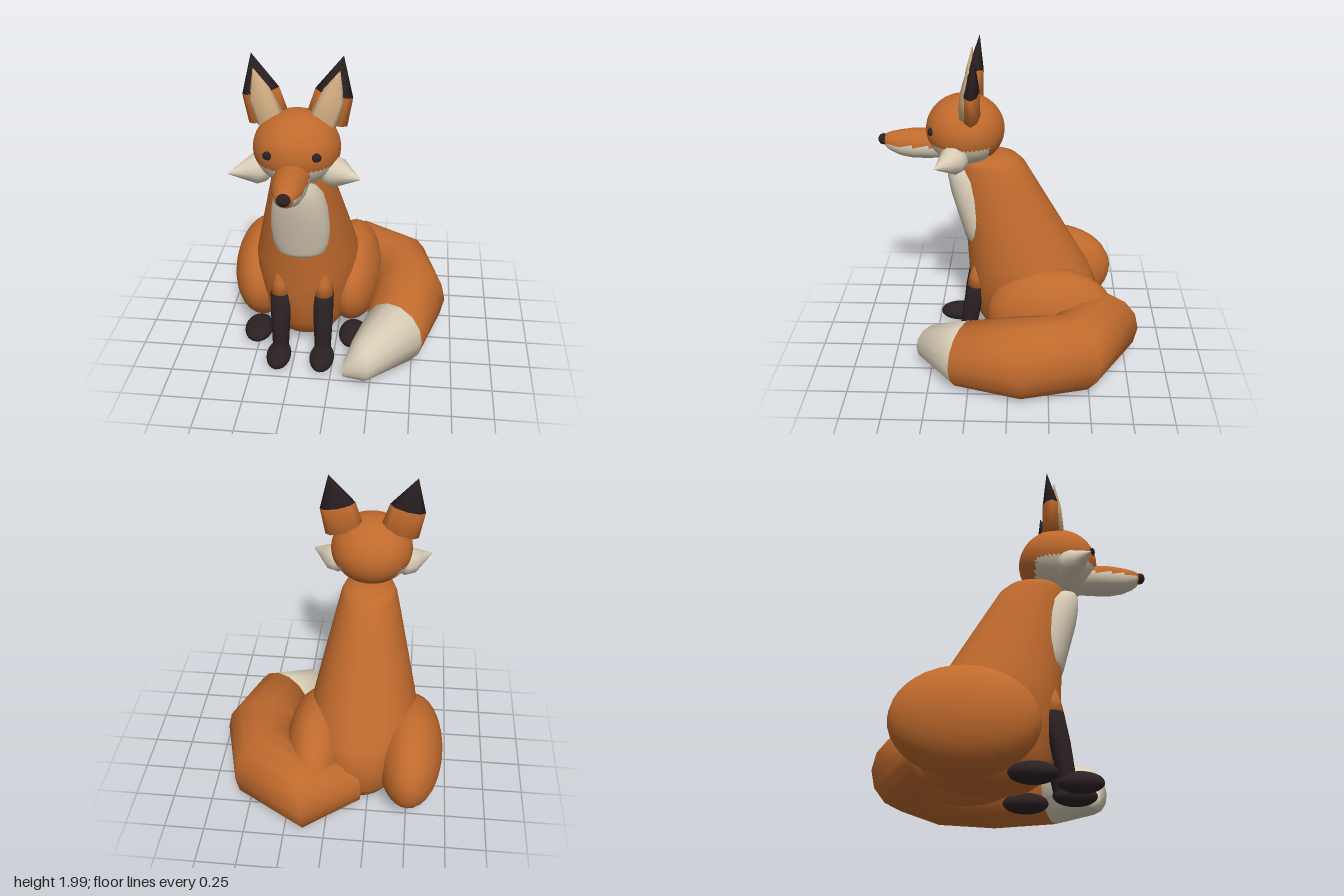
import * as THREE from 'three';

const V = (x, y, z) => new THREE.Vector3(x, y, z);
const mat = (name, color, side = THREE.FrontSide) => {
  const m = new THREE.MeshStandardMaterial({ color, side });
  m.name = name;
  return m;
};

// Ellipse of n points around c; sections advance along u x v
function ring(c, u, v, n) {
  return Array.from({ length: n }, (_, i) => {
    const a = (i / n) * Math.PI * 2;
    return c.clone().addScaledVector(u, Math.cos(a)).addScaledVector(v, Math.sin(a));
  });
}

// Closed skin over a list of rings
function loft(rings) {
  const n = rings[0].length, pos = [], idx = [];
  rings.forEach(r => r.forEach(p => pos.push(p.x, p.y, p.z)));
  for (let i = 0; i < rings.length - 1; i++) {
    for (let j = 0; j < n; j++) {
      const a = i * n + j, b = i * n + (j + 1) % n;
      idx.push(a, b, a + n, b, b + n, a + n);
    }
  }
  [0, rings.length - 1].forEach(i => {
    const c = rings[i].reduce((s, p) => s.add(p), V(0, 0, 0)).divideScalar(n);
    const k = pos.length / 3;
    pos.push(c.x, c.y, c.z);
    for (let j = 0; j < n; j++) {
      const a = i * n + j, b = i * n + (j + 1) % n;
      if (i === 0) idx.push(k, b, a); else idx.push(k, a, b);
    }
  });
  const g = new THREE.BufferGeometry();
  g.setAttribute('position', new THREE.Float32BufferAttribute(pos, 3));
  g.setIndex(idx);
  g.computeVertexNormals();
  return g;
}

// Sorts triangles into two material groups by their centre point
function paint(geo, test) {
  const p = geo.attributes.position, src = geo.index.array, parts = [[], []];
  for (let i = 0; i < src.length; i += 3) {
    const t = [src[i], src[i + 1], src[i + 2]];
    const c = V(0, 0, 0);
    t.forEach(k => c.add(V(p.getX(k), p.getY(k), p.getZ(k))));
    parts[test(c.divideScalar(3)) ? 1 : 0].push(...t);
  }
  geo.setIndex([...parts[0], ...parts[1]]);
  geo.clearGroups();
  geo.addGroup(0, parts[0].length, 0);
  geo.addGroup(parts[0].length, parts[1].length, 1);
  return geo;
}

// Upright skin from rows [y, back z, front z, half width]
const upright = (rows, x = 0, n = 28) => loft(rows.map(([y, b, f, w]) =>
  ring(V(x, y, (b + f) / 2), V(0, 0, (f - b) / 2), V(w, 0, 0), n)));

export function createModel() {
  const orange = mat('orange fur', 0xc06a2d);
  const cream = mat('cream fur', 0xd8ccb6);
  const dark = mat('dark fur', 0x2b2123);
  const tan = mat('inner ear tan', 0xd3ae84);

  const root = new THREE.Group();
  root.name = 'sittingFox';
  const fox = new THREE.Group();
  fox.name = 'body';
  fox.position.x = -0.2;
  root.add(fox);

  const add = (name, geo, material, parent = fox) => {
    const m = new THREE.Mesh(geo, material);
    m.name = name;
    parent.add(m);
    return m;
  };
  const blob = (name, c, r, material, parent = fox, seg = 20) =>
    add(name, new THREE.SphereGeometry(1, seg, Math.ceil(seg * 0.7))
      .scale(...r).translate(...c), material, parent);

  // Torso and chest bib
  add('torso', upright([
    [0.065, -0.38, 0.1, 0.18], [0.11, -0.47, 0.17, 0.23], [0.22, -0.54, 0.23, 0.29],
    [0.4, -0.57, 0.265, 0.33], [0.52, -0.52, 0.275, 0.335], [0.64, -0.45, 0.28, 0.322],
    [0.9, -0.3, 0.295, 0.26], [1.15, -0.155, 0.32, 0.2], [1.27, -0.085, 0.325, 0.17],
    [1.31, -0.04, 0.31, 0.15], [1.335, 0.03, 0.25, 0.09],
  ]), orange);
  add('chest', upright([
    [0.755, 0.12, 0.29, 0.13], [0.78, 0.11, 0.3, 0.158], [0.84, 0.1, 0.315, 0.172],
    [0.95, 0.1, 0.345, 0.179], [1.08, 0.1, 0.38, 0.168], [1.18, 0.1, 0.397, 0.145],
    [1.25, 0.12, 0.4, 0.108], [1.29, 0.16, 0.385, 0.06],
  ]), cream);

  // Head with pale jaw
  const headGeo = new THREE.SphereGeometry(1, 56, 40).scale(0.248, 0.215, 0.24).translate(0, 1.49, 0.28);
  add('head', paint(headGeo, c => c.y < 1.432 && c.z > 0.13), [orange, cream]);
  const muzzleRows = [[0.4, 1.39, 0.098, 0.088], [0.5, 1.39, 0.1, 0.092], [0.6, 1.39, 0.096, 0.093],
    [0.68, 1.392, 0.083, 0.08], [0.74, 1.4, 0.064, 0.06], [0.765, 1.404, 0.05, 0.046], [0.78, 1.41, 0.03, 0.028]];
  add('muzzle', paint(loft(muzzleRows.map(([z, y, w, h]) =>
    ring(V(0, y, z), V(w, 0, 0), V(0, h, 0), 28))), c => c.y < 1.4 && c.z < 0.762), [orange, cream]);
  blob('nose', [0, 1.413, 0.787], [0.038, 0.034, 0.033], dark, fox, 14);

  // Paired face and front leg parts, modelled on +x and mirrored
  for (const s of [1, -1]) {
    const side = new THREE.Group();
    side.name = s > 0 ? 'leftSide' : 'rightSide';
    side.scale.x = s;
    fox.add(side);

    blob('eye', [0.13, 1.515, 0.476], [0.033, 0.026, 0.02], dark, side, 14);

    // Cheek tuft
    const base = V(0.2, 1.37, 0.325), tip = V(0.37, 1.375, 0.435);
    const w = tip.clone().sub(base).normalize(), h = V(0, 1, 0).cross(w).normalize();
    add('cheekTuft', loft([[-0.3, 0.04], [-0.05, 0.084], [0.2, 0.088], [0.5, 0.056], [1, 0.002]].map(([t, r]) =>
      ring(base.clone().lerp(tip, t), h.clone().multiplyScalar(r), V(0, r, 0), 10))), cream, side);

    // Ear sections run from inner edge to outer edge
    const ear = (rows) => loft(rows.map(([xi, yi, xo, yo, z, d]) =>
      ring(V((xi + xo) / 2, (yi + yo) / 2, z), V(0, 0, d), V((xo - xi) / 2, (yo - yi) / 2, 0), 8)));
    const earMid = [0.1, 1.82, 0.31, 1.77, 0.225, 0.05];
    add('ear', ear([[0.05, 1.67, 0.278, 1.6, 0.228, 0.052], earMid]), orange, side);
    add('earTip', ear([earMid, [0.254, 2, 0.256, 2, 0.2, 0.001]]), dark, side);
    add('innerEar', ear([[0.07, 1.68, 0.22, 1.61, 0.275, 0.035], [0.15, 1.83, 0.265, 1.75, 0.262, 0.026],
      [0.239, 1.93, 0.241, 1.93, 0.245, 0.002]]), tan, side);

    // Front leg
    add('frontLegTop', upright([[0.46, 0.15, 0.28, 0.065], [0.53, 0.15, 0.265, 0.052],
      [0.65, 0.17, 0.225, 0.015]], 0.135, 14), orange, side);
    add('frontLeg', upright([[0.06, 0.24, 0.34, 0.05], [0.3, 0.19, 0.31, 0.062],
      [0.46, 0.15, 0.28, 0.065]], 0.135, 14), dark, side);
    blob('frontPaw', [0.137, 0.068, 0.36], [0.077, 0.06, 0.13], dark, side);
    blob('hindPaw', [0.312, 0.067, 0.09], [0.092, 0.06, 0.135], dark, side);
  }

  // Haunches
  blob('rightHaunch', [-0.305, 0.35, -0.27], [0.205, 0.31, 0.41], orange, fox, 28);
  blob('leftHaunch', [0.285, 0.35, -0.26], [0.19, 0.305, 0.405], orange, fox, 28);

  // Tail curling round the left side: [x, y, z, horizontal radius, vertical radius, direction x, direction z]
  const tailRows = [
    [-0.16, 0.26, -0.48, 0.13, 0.14, 0.9, -0.45], [0.13, 0.262, -0.58, 0.24, 0.25, 1, 0],
    [0.4, 0.262, -0.385, 0.238, 0.255, 0.7, 0.7], [0.46, 0.262, -0.08, 0.24, 0.255, 0, 1],
    [0.38, 0.23, 0.275, 0.2, 0.213, -0.43, 0.9], [0.185, 0.165, 0.478, 0.128, 0.14, -0.88, 0.47],
    [0.085, 0.085, 0.475, 0.045, 0.05, -0.97, -0.1],
  ];
  const tailRings = tailRows.map(([x, y, z, r, ry, dx, dz]) => {
    const u = V(0, 1, 0).cross(V(dx, 0, dz)).normalize().multiplyScalar(r);
    return ring(V(x, y, z), u, V(0, ry, 0), 14);
  });
  add('tail', loft(tailRings.slice(0, 5)), orange, root);
  add('tailTip', loft(tailRings.slice(4)), cream, root);

  return root;
}
